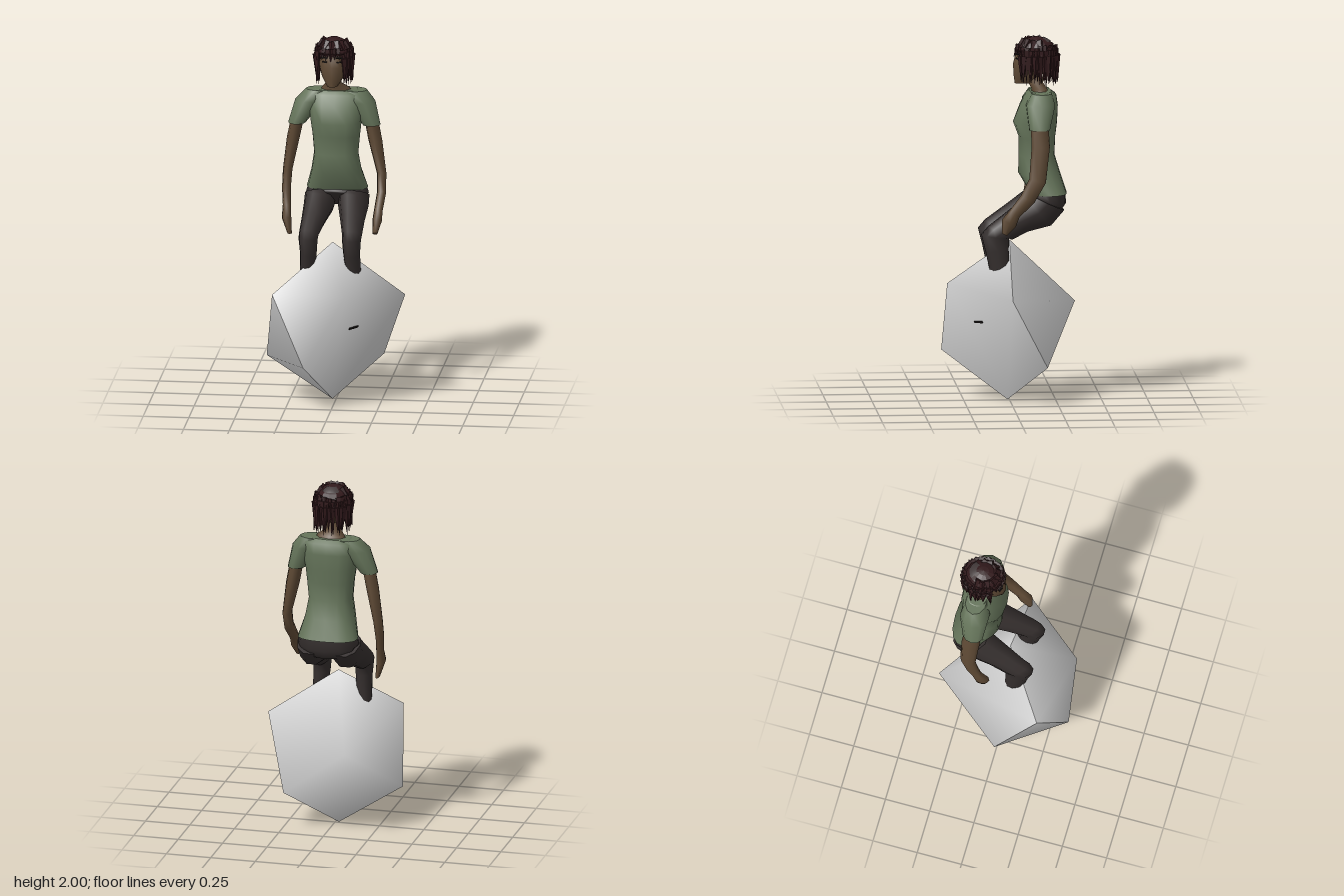
import * as THREE from 'three';
import { mergeGeometries } from 'three/addons/utils/BufferGeometryUtils.js';

const mat = (name, color, extra = {}) => {
  const m = new THREE.MeshStandardMaterial({ color, ...extra });
  m.name = name;
  return m;
};

function surface(pos, idx) {
  const g = new THREE.BufferGeometry();
  g.setAttribute('position', new THREE.Float32BufferAttribute(pos, 3));
  g.setIndex(idx);
  g.computeVertexNormals();
  return g;
}

// Skin a stack of rings, top to bottom; power 1 gives ellipses, less gives squarer rings.
// Each ring: [x, y, z, halfWidth, halfDepth, tilt in degrees (front edge up)]
function loft(rings, n = 10, power = 1) {
  const pos = [], idx = [];
  const round = v => Math.sign(v) * Math.abs(v) ** power;
  const addRing = ([x, y, z, rx, rd, tilt = 0]) => {
    const t = tilt * Math.PI / 180;
    for (let j = 0; j < n; j++) {
      const a = j / n * Math.PI * 2, s = rd * round(Math.sin(a));
      pos.push(x + rx * round(Math.cos(a)), y + s * Math.sin(t), z + s * Math.cos(t));
    }
  };
  rings.forEach(addRing);
  for (let i = 0; i < rings.length - 1; i++) {
    for (let j = 0; j < n; j++) {
      const k = (j + 1) % n, a = i * n + j, b = i * n + k;
      idx.push(a, b, a + n, b, b + n, a + n);
    }
  }
  // end caps with their own corners
  [rings[0], rings[rings.length - 1]].forEach((r, end) => {
    const base = pos.length / 3;
    addRing(r);
    pos.push(r[0], r[1], r[2]);
    for (let j = 0; j < n; j++) {
      const k = (j + 1) % n;
      if (end) idx.push(base + n, base + j, base + k);
      else idx.push(base + n, base + k, base + j);
    }
  });
  return surface(pos, idx);
}

export function createModel() {
  const root = new THREE.Group();
  const stone = mat('pale grey', 0xd4d4d4);
  const shirt = mat('sage green', 0x65745a);
  const skin = mat('brown skin', 0x5f4a35);
  const cloth = mat('charcoal', 0x342e2d);
  const hair = mat('dark hair', 0x321a1c, { flatShading: true });
  const scalp = mat('grey scalp', 0x433a3a);
  const dark = mat('near black', 0x1c1817);
  const add = (name, geo, m) => {
    const mesh = new THREE.Mesh(geo, m);
    mesh.name = name;
    root.add(mesh);
    return mesh;
  };

  // Boulder: three smooth shells meeting at sharp creases
  const corners = [
    [-0.02, 0.88, 0], [-0.02, 0, 0.01], [0.378, 0.6, 0.01], [0.085, 0.66, 0.347], [-0.325, 0.635, 0.235],
    [0.24, 0.21, -0.19], [-0.14, 0.26, 0.363], [-0.38, 0.235, 0.01], [-0.15, 0.52, -0.367],
  ];
  const [T, B, U0, U1, U2, L0, L1, L2, K] = corners.keys();
  const shell = (name, faces) => add(name, surface(corners.flat(), faces.flat()), stone);
  shell('boulderFront', [[T, U2, U1], [T, U1, U0], [B, U1, L1], [B, U0, U1], [B, L0, U0], [U1, U2, L1]]);
  shell('boulderSide', [[B, L1, L2], [U2, L2, L1]]);
  shell('boulderBack', [[T, U0, K], [T, K, U2], [B, K, L0], [B, L2, K], [K, U0, L0], [U2, K, L2]]);

  // Small dark chip lying on the boulder's front face
  const along = new THREE.Vector3(...corners[U0]).sub(new THREE.Vector3(...corners[U1])).normalize();
  const out = new THREE.Vector3(0.198, -0.132, 0.195).normalize();
  const chip = add('chip', new THREE.BoxGeometry(0.06, 0.011, 0.009), dark);
  chip.quaternion.setFromRotationMatrix(new THREE.Matrix4().makeBasis(along, out.clone().cross(along), out));
  chip.rotateZ(0.25);
  chip.position.set(0.114, 0.449, 0.178);

  // Shirt body
  add('shirtBody', loft([
    [-0.018, 1.7, -0.168, 0.115, 0.06],
    [-0.018, 1.68, -0.17, 0.155, 0.085],
    [-0.018, 1.62, -0.16, 0.155, 0.104],
    [-0.018, 1.53, -0.14, 0.14, 0.12],
    [-0.018, 1.45, -0.15, 0.13, 0.1],
    [-0.018, 1.35, -0.147, 0.121, 0.098],
    [-0.018, 1.25, -0.162, 0.137, 0.114],
    [-0.018, 1.14, -0.212, 0.168, 0.1],
  ], 16, 0.8), shirt);

  // Sleeves and arms; the two arms hang differently
  add('leftSleeve', loft([
    [0.075, 1.698, -0.168, 0.075, 0.058], [0.12, 1.64, -0.16, 0.075, 0.082], [0.174, 1.51, -0.15, 0.05, 0.058],
  ]), shirt);
  add('rightSleeve', loft([
    [-0.111, 1.698, -0.168, 0.075, 0.058], [-0.163, 1.64, -0.16, 0.08, 0.082], [-0.233, 1.51, -0.15, 0.048, 0.058],
  ]), shirt);
  add('leftArm', loft([
    [0.17, 1.56, -0.15, 0.038, 0.048], [0.195, 1.42, -0.155, 0.038, 0.05], [0.232, 1.24, -0.135, 0.026, 0.047, 15],
    [0.237, 1.14, -0.08, 0.025, 0.042, 30], [0.228, 1.06, -0.01, 0.024, 0.033, 35],
    [0.225, 1.01, 0.02, 0.026, 0.043, 30], [0.216, 0.945, 0.045, 0.014, 0.016, 30],
  ], 8), skin);
  add('rightArm', loft([
    [-0.225, 1.56, -0.15, 0.036, 0.048], [-0.255, 1.42, -0.16, 0.035, 0.05], [-0.286, 1.24, -0.165, 0.026, 0.043],
    [-0.29, 1.14, -0.14, 0.024, 0.036, 12], [-0.285, 1.05, -0.115, 0.022, 0.028, 15],
    [-0.283, 0.985, -0.085, 0.026, 0.042, 15], [-0.267, 0.895, -0.095, 0.012, 0.03, 10],
  ], 8), skin);

  // Trousers: hips and two bent legs that sink into the boulder
  add('hips', loft([
    [-0.018, 1.165, -0.212, 0.155, 0.09], [-0.018, 1.11, -0.205, 0.172, 0.108, 15],
    [-0.018, 1.08, -0.19, 0.15, 0.1, 30], [-0.018, 1.07, -0.17, 0.11, 0.05, 40],
  ], 12, 0.9), cloth);
  const leg = (name, hip, knee, foot) => add(name, loft([
    [hip, 1.1, -0.2, 0.083, 0.105, 25], [hip, 1.05, -0.15, 0.084, 0.108, 48],
    [(hip + knee) / 2, 0.995, -0.035, 0.067, 0.08, 45], [knee, 0.935, 0.058, 0.054, 0.077, 30],
    [knee, 0.915, 0.086, 0.052, 0.08, 8], [knee, 0.84, 0.075, 0.046, 0.066, -10],
    [foot, 0.73, 0.063, 0.042, 0.055, -8], [foot, 0.62, 0.045, 0.036, 0.045],
  ]), cloth);
  leg('leftLeg', 0.075, 0.092, 0.1);
  leg('rightLeg', -0.112, -0.145, -0.15);

  // Neck, head and face
  add('neck', loft([
    [-0.03, 1.82, -0.135, 0.042, 0.045], [-0.03, 1.74, -0.145, 0.042, 0.04], [-0.022, 1.712, -0.162, 0.075, 0.042],
    [-0.02, 1.685, -0.168, 0.09, 0.05],
  ], 8), skin);
  add('head', loft([
    [-0.03, 1.96, -0.145, 0.045, 0.05], [-0.03, 1.935, -0.14, 0.07, 0.085], [-0.03, 1.905, -0.135, 0.08, 0.1],
    [-0.03, 1.85, -0.125, 0.08, 0.104], [-0.03, 1.79, -0.105, 0.063, 0.082], [-0.03, 1.74, -0.075, 0.03, 0.045],
  ], 12), skin);
  for (const s of [-1, 1]) {
    for (const [name, y, w] of [['brow', 1.904, 0.034], ['eye', 1.88, 0.026]]) {
      const p = add(name, new THREE.BoxGeometry(w, 0.006, 0.009), dark);
      p.position.set(-0.03 + s * 0.04, y, -0.041);
      p.rotation.y = s * 0.4;
    }
  }

  // Hair: a cap, a bare crown patch and rows of pointed locks
  const centre = new THREE.Vector3(-0.03, 1.89, -0.148), radii = new THREE.Vector3(0.098, 0.106, 0.112);
  const cap = new THREE.SphereGeometry(1, 12, 5, 0, Math.PI * 2, 0, Math.PI * 0.43);
  add('hairCap', cap.scale(...radii).translate(...centre), hair);
  const crown = new THREE.SphereGeometry(1.03, 6, 2, Math.PI * 1.25, Math.PI * 0.5, 0.35, 0.4);
  add('crownPatch', crown.scale(...radii).translate(...centre), scalp);

  let seed = 7;
  const rnd = () => (seed = (seed * 16807) % 2147483647) / 2147483647;
  const locks = [];
  const lock = (phi, theta, length, hang) => {
    const at = new THREE.Vector3(Math.cos(phi) * Math.sin(theta), Math.cos(theta), Math.sin(phi) * Math.sin(theta));
    const dir = new THREE.Vector3(Math.cos(phi) * Math.cos(theta), -Math.sin(theta) - 0.35, Math.sin(phi) * Math.cos(theta));
    if (hang) dir.set((rnd() - 0.5) * 0.15, -1, (rnd() - 0.5) * 0.15);
    const g = new THREE.ConeGeometry(0.02, length, 4).translate(0, length / 2, 0);
    g.applyQuaternion(new THREE.Quaternion().setFromUnitVectors(new THREE.Vector3(0, 1, 0), dir.normalize()));
    // the cone's wide end sits at the scalp, its point at the hanging tip
    locks.push(g.translate(...at.multiply(radii).add(centre)));
  };
  for (let i = 0; i < 28; i++) {
    const phi = (i + rnd() * 0.6) / 28 * Math.PI * 2;
    const facing = Math.sin(phi);
    if (i % 2 && facing > -0.4) lock(phi, 0.5 + rnd() * 0.2, 0.07 + rnd() * 0.02, false);
    lock(phi, 0.95 + rnd() * 0.15, 0.055 + rnd() * 0.02, false);
    if (facing > 0.72) lock(phi, 1.22, 0.02 + rnd() * 0.02, true);
    else {
      lock(phi, 1.2, 0.17 + rnd() * 0.04, true);
      lock(phi + 0.1, 1.5, 0.14 + rnd() * 0.025, true);
    }
  }
  add('hairLocks', mergeGeometries(locks), hair);

  return root;
}
